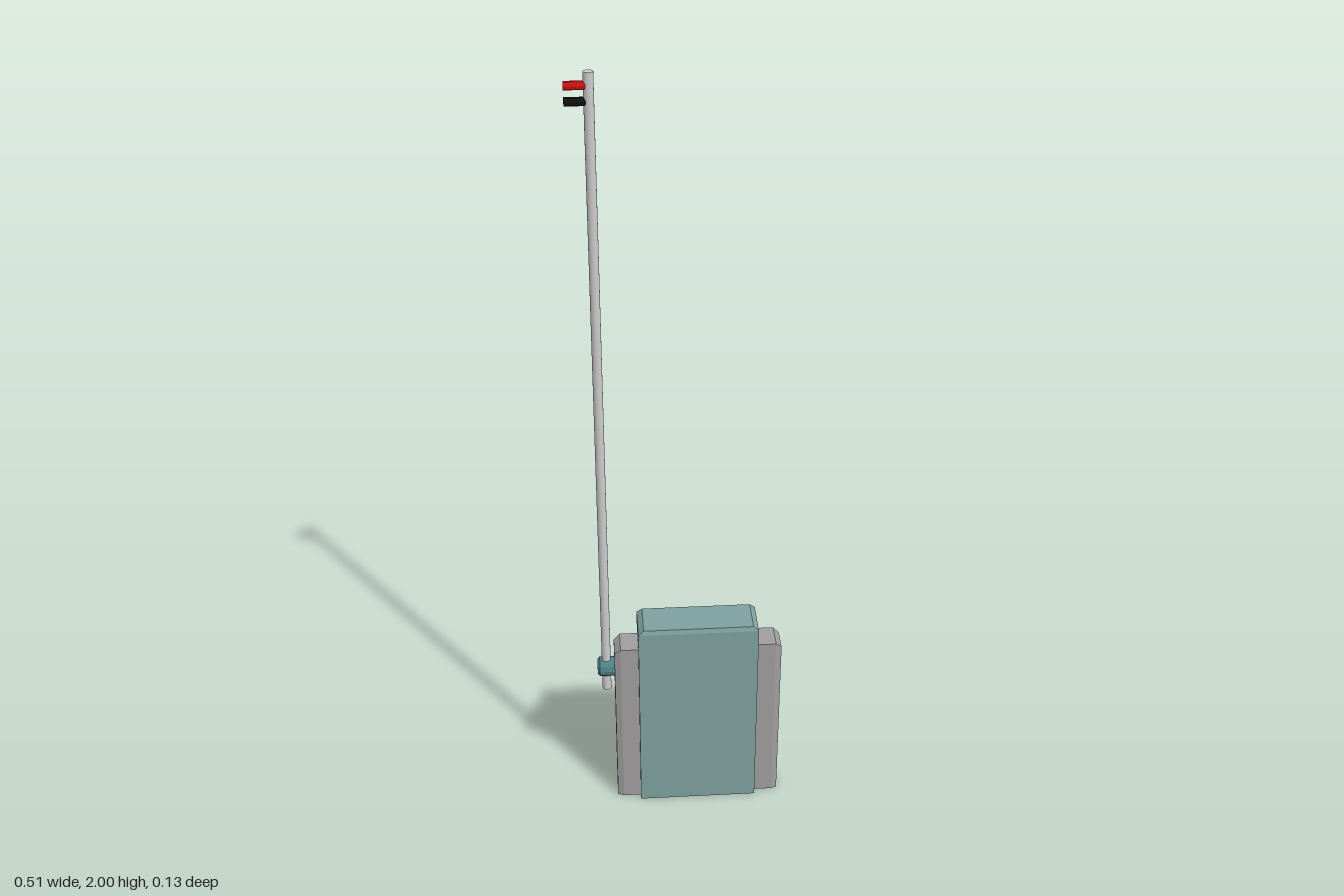
import * as THREE from 'three';

const paint = (color) => new THREE.MeshStandardMaterial({ color, flatShading: true });

// Block lofted along y through rectangles [y, xMin, xMax, zMin, zMax]
function loft(sections) {
  const pos = [], idx = [];
  for (const [y, x0, x1, z0, z1] of sections) pos.push(x0, y, z1, x1, y, z1, x1, y, z0, x0, y, z0);
  for (let s = 0; s < sections.length - 1; s++) {
    for (let i = 0; i < 4; i++) {
      const a = s * 4 + i, b = s * 4 + (i + 1) % 4;
      idx.push(a, b, b + 4, a, b + 4, a + 4);
    }
  }
  const t = (sections.length - 1) * 4;
  idx.push(0, 2, 1, 0, 3, 2, t, t + 1, t + 2, t, t + 2, t + 3);
  const g = new THREE.BufferGeometry();
  g.setAttribute('position', new THREE.Float32BufferAttribute(pos, 3));
  g.setIndex(idx);
  const flat = g.toNonIndexed();
  flat.computeVertexNormals();
  return flat;
}

export function createModel() {
  const model = new THREE.Group();
  const teal = paint(0x7ea19f), darkTeal = paint(0x4f8088), grey = paint(0xa09e9e);
  const metal = new THREE.MeshStandardMaterial({ color: 0xcccccc });
  const black = paint(0x111111), red = paint(0xd01010);
  const add = (name, geometry, material, x = 0, y = 0, z = 0, parent = model) => {
    const mesh = new THREE.Mesh(geometry, material);
    mesh.name = name;
    mesh.position.set(x, y, z);
    parent.add(mesh);
    return mesh;
  };

  // Main case with a bevelled top
  add('case', loft([
    [0, -0.118, 0.191, -0.043, 0.062],
    [0.553, -0.118, 0.191, -0.043, 0.062],
    [0.565, -0.104, 0.177, -0.039, 0.058],
  ]), teal);

  // Side grip running through the case, lofted sideways with bevelled ends
  const grip = add('sideGrip', loft([
    [-0.254, 0, 0.482, -0.021, 0.039],
    [-0.239, 0, 0.496, -0.027, 0.045],
    [0.164, 0, 0.496, -0.027, 0.045],
    [0.18, 0, 0.482, -0.021, 0.039],
  ]), grey);
  grip.rotation.z = Math.PI / 2;
  // turn the loft axis to -x while the section's x becomes y

  // Screen on the back
  add('screen', new THREE.BoxGeometry(0.268, 0.1, 0.004), black, 0.04, 0.458, -0.043);

  // Round dial on the back, facing -z
  const dial = new THREE.Group();
  dial.name = 'dial';
  dial.position.set(0.037, 0.267, -0.042);
  dial.rotation.y = Math.PI;
  model.add(dial);
  const rim = new THREE.Shape().absarc(0, 0, 0.104, 0, Math.PI * 2);
  rim.holes.push(new THREE.Path().absarc(0, 0, 0.089, 0, Math.PI * 2, true));
  add('dialRim', new THREE.ExtrudeGeometry(rim, { depth: 0.02, bevelEnabled: false, curveSegments: 20 }), darkTeal, 0, 0, 0, dial);
  add('dialFace', new THREE.CylinderGeometry(0.092, 0.092, 0.014, 20), grey, 0, 0, 0.007, dial).rotation.x = Math.PI / 2;
  const bolt = new THREE.Shape([
    [-0.048, 0.068], [-0.03, 0.005], [-0.006, 0.008], [-0.012, -0.022], [0.008, -0.02], [0.05, -0.068],
    [0.03, -0.004], [0.01, -0.006], [0.014, 0.024], [-0.008, 0.022],
  ].map(([x, y]) => new THREE.Vector2(x, y)));
  add('dialBolt', new THREE.ExtrudeGeometry(bolt, { depth: 0.009, bevelEnabled: false }), darkTeal, 0, 0, 0.013, dial);

  // Knob that holds the rod to the grip
  const knobProfile = [[0, -0.025], [0.026, -0.025], [0.026, 0.017], [0.02, 0.023], [0, 0.023]];
  add('rodKnob', new THREE.LatheGeometry(knobProfile.map(([r, y]) => new THREE.Vector2(r, y)), 12),
    darkTeal, -0.201, 0.42, 0.009).rotation.z = Math.PI / 2;

  // Tall rod with two pins at the tip
  add('rod', new THREE.CylinderGeometry(0.0115, 0.0115, 1.65, 16), metal, -0.201, 1.175, 0.009);
  for (const [name, y, material] of [['redPin', 1.97, red], ['blackPin', 1.935, black]]) {
    add(name, new THREE.CylinderGeometry(0.01, 0.01, 0.054, 12), material, -0.228, y, 0.009).rotation.z = Math.PI / 2;
  }
  return model;
}
